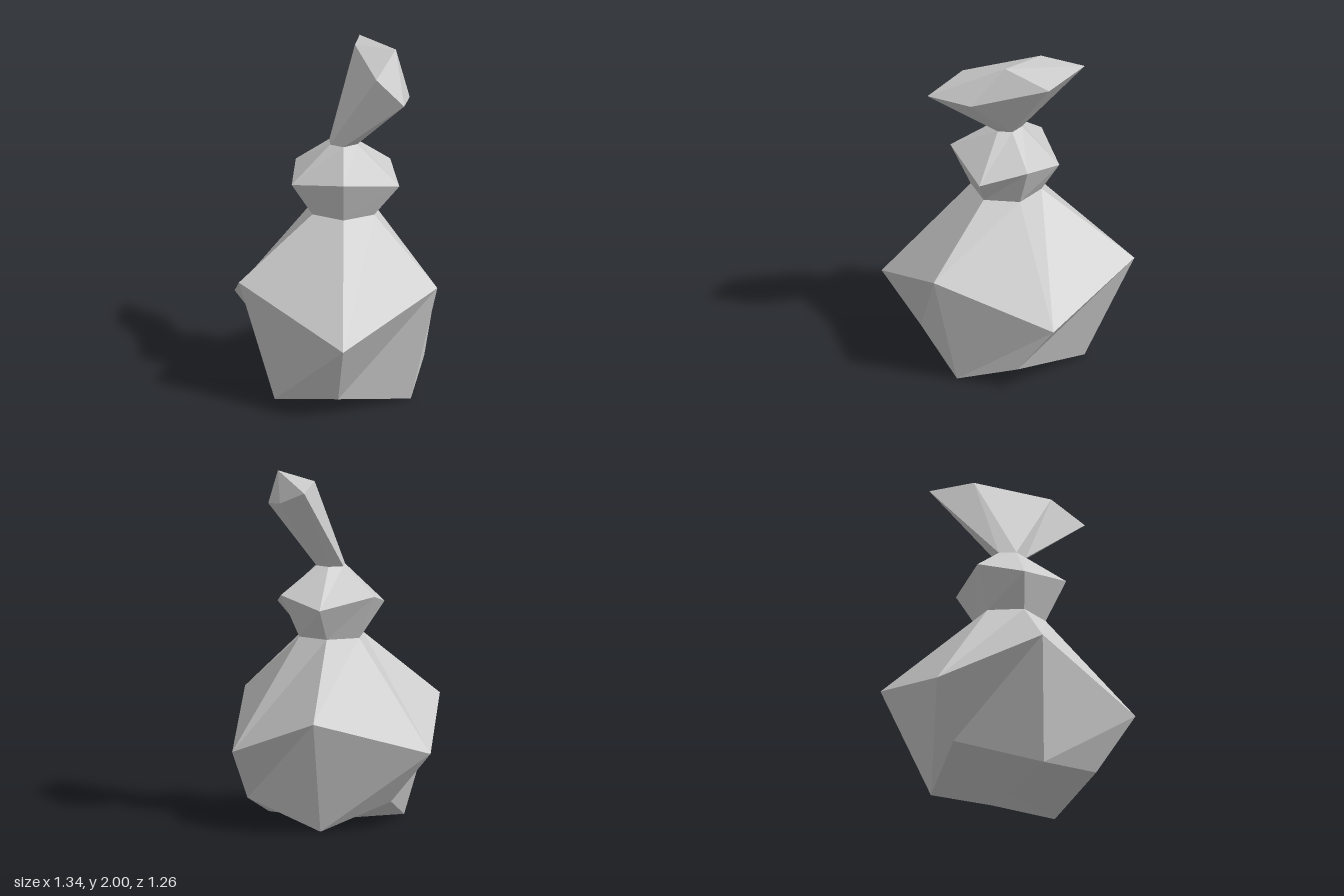
import * as THREE from 'three';

// Rings of six corners [x, y, z], running left, front, right, back
const footRing = [[-0.43, 0.155, -0.05], [-0.18, 0, 0.4], [0.265, 0.09, 0.45], [0.485, 0, 0.01], [0.37, 0.135, -0.34], [-0.18, 0, -0.38]];
const bellyRing = [[-0.67, 0.445, 0.005], [-0.35, 0.7, 0.51], [0.4, 0.445, 0.627], [0.67, 0.7, 0.03], [0.315, 0.43, -0.555], [-0.32, 0.66, -0.63]];
const neckRing = [[-0.165, 1.06, 0], [-0.06, 1.06, 0.18], [0.145, 1.06, 0.185], [0.245, 1.06, 0.01], [0.135, 1.06, -0.165], [-0.06, 1.06, -0.165]];
const collarRing = [[-0.27, 1.305, 0.005], [-0.155, 1.24, 0.25], [0.205, 1.305, 0.285], [0.37, 1.23, -0.06], [0.19, 1.305, -0.265], [-0.09, 1.24, -0.27]];
const pinchRing = [[-0.053, 1.46, 0], [0, 1.46, 0.085], [0.09, 1.46, 0.088], [0.13, 1.46, 0], [0.085, 1.46, -0.07], [0, 1.46, -0.07]];
const crownRing = [[-0.11, 1.94, -0.44], [-0.005, 1.97, -0.205], [0.315, 1.905, 0.105], [0.54, 1.81, 0.18], [0.44, 1.78, -0.055], [0.12, 1.85, -0.365]];

// Joins rings from bottom to top, with optional fan points closing the ends
function loft(rings, bottom, top) {
  const corners = [];
  const n = rings[0].length;
  for (let i = 0; i < n; i++) {
    const j = (i + 1) % n;
    for (let r = 0; r + 1 < rings.length; r++) {
      const a = rings[r], b = rings[r + 1];
      corners.push(a[i], a[j], b[j], a[i], b[j], b[i]);
    }
    if (bottom) corners.push(rings[0][j], rings[0][i], bottom);
    if (top) corners.push(rings.at(-1)[i], rings.at(-1)[j], top);
  }
  const geometry = new THREE.BufferGeometry();
  geometry.setAttribute('position', new THREE.Float32BufferAttribute(corners.flat(), 3));
  geometry.computeVertexNormals();
  return geometry;
}

export function createModel() {
  const group = new THREE.Group();
  group.name = 'facetedFigure';
  const stone = new THREE.MeshStandardMaterial({ color: 0xcccccc });
  stone.name = 'pale grey';

  const add = (name, geometry) => {
    const mesh = new THREE.Mesh(geometry, stone);
    mesh.name = name;
    group.add(mesh);
  };

  // Heavy base, small collar and slanted crown
  add('body', loft([footRing, bellyRing, neckRing], [0.05, 0, 0], null));
  add('collar', loft([neckRing, collarRing, pinchRing], null, null));
  add('crown', loft([pinchRing, crownRing], null, [0.28, 2, -0.175]));
  return group;
}
